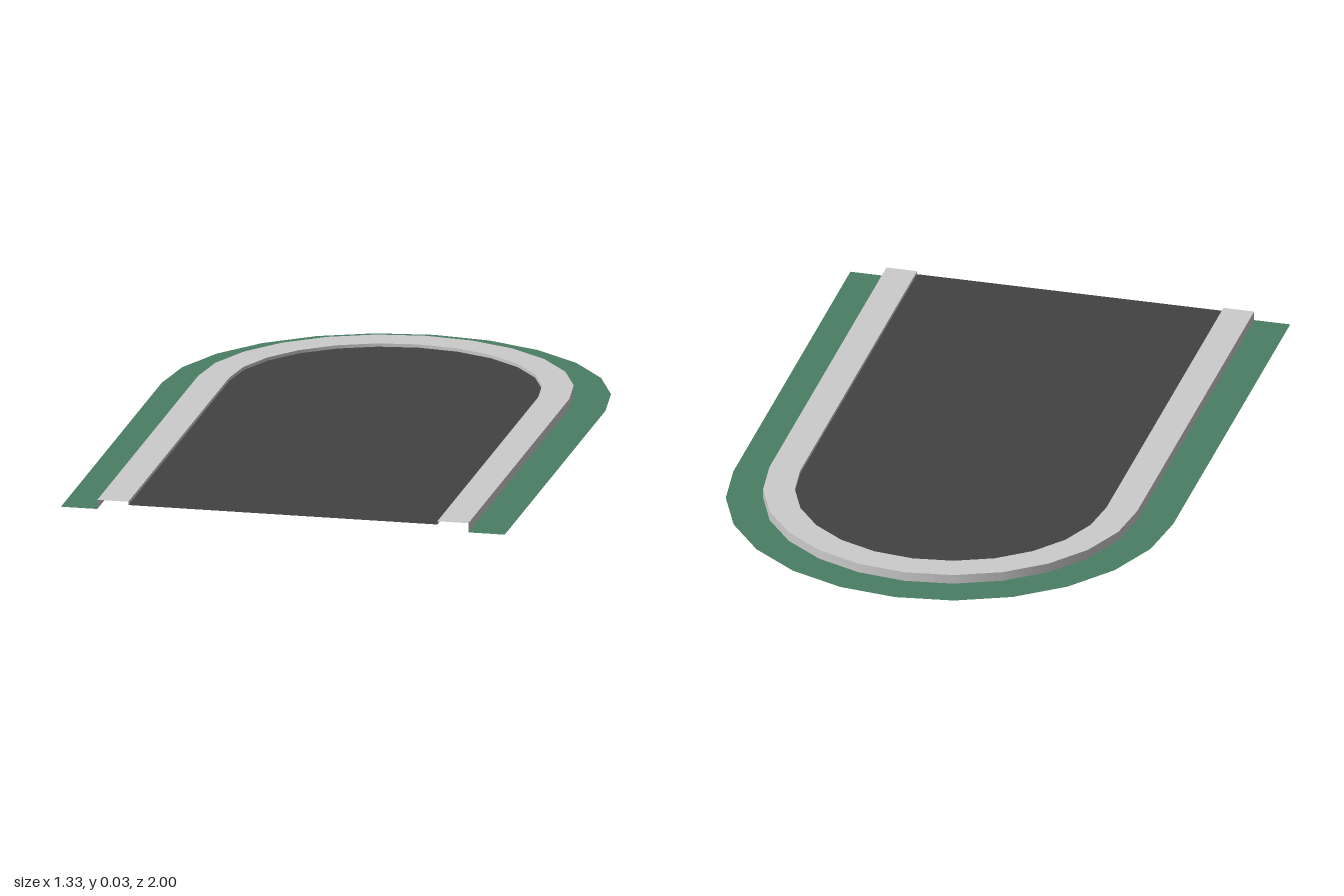
import * as THREE from 'three';

const FRONT = 1;          // z of the open front end
const ARC_Z = -0.335;     // centre of the rounded end
const SEGMENTS = 12;
const ROAD_R = 0.463, KERB_R = 0.556, GRASS_R = 0.665;
const ROAD_Y = 0.018, KERB_Y = 0.028;

// Stations along the U: [angle, z of the centre]
const stations = [[0, FRONT]];
for (let i = 0; i <= SEGMENTS; i++) stations.push([Math.PI * i / SEGMENTS, ARC_Z]);
stations.push([Math.PI, FRONT]);

function material(color) {
  return new THREE.MeshStandardMaterial({ color, side: THREE.DoubleSide });
}

// One band swept round the U between two profile points [radius, height]
function band(name, [r0, y0], [r1, y1], mat) {
  const position = [], normal = [], index = [];
  const length = Math.hypot(r1 - r0, y1 - y0);
  const out = (y0 - y1) / length, up = (r1 - r0) / length;
  stations.forEach(([angle, z], i) => {
    const c = Math.cos(angle), s = -Math.sin(angle);
    for (const [r, y] of [[r0, y0], [r1, y1]]) {
      position.push(r * c, y, z + r * s);
      normal.push(out * c, up, out * s);
    }
    if (i > 0) {
      const a = 2 * i - 2;
      index.push(a, a + 1, a + 2, a + 1, a + 3, a + 2);
    }
  });
  const geometry = new THREE.BufferGeometry();
  geometry.setAttribute('position', new THREE.Float32BufferAttribute(position, 3));
  geometry.setAttribute('normal', new THREE.Float32BufferAttribute(normal, 3));
  geometry.setIndex(index);
  const mesh = new THREE.Mesh(geometry, mat);
  mesh.name = name;
  return mesh;
}

export function createModel() {
  const model = new THREE.Group();
  model.name = 'roadEnd';

  // Road surface: flat sheet with a rounded back end
  const shape = new THREE.Shape();
  shape.moveTo(-ROAD_R, -FRONT);
  shape.lineTo(ROAD_R, -FRONT);
  shape.absarc(0, -ARC_Z, ROAD_R, 0, Math.PI, false);
  shape.closePath();
  const roadGeometry = new THREE.ShapeGeometry(shape, SEGMENTS);
  roadGeometry.rotateX(-Math.PI / 2).translate(0, ROAD_Y, 0);
  const road = new THREE.Mesh(roadGeometry, material(0x424242));
  road.name = 'road';
  model.add(road);

  // Kerb: inner face, top and outer face, open at the front ends
  const grey = material(0xcccccc);
  const kerb = new THREE.Group();
  kerb.name = 'kerb';
  kerb.add(
    band('kerbInnerFace', [ROAD_R, ROAD_Y], [ROAD_R, KERB_Y], grey),
    band('kerbTop', [ROAD_R, KERB_Y], [KERB_R, KERB_Y], grey),
    band('kerbOuterFace', [KERB_R, KERB_Y], [KERB_R, 0], grey)
  );
  model.add(kerb);

  // Grass verge: flat band on the ground
  model.add(band('grassVerge', [KERB_R, 0], [GRASS_R, 0], material(0x4a7f64)));

  return model;
}
